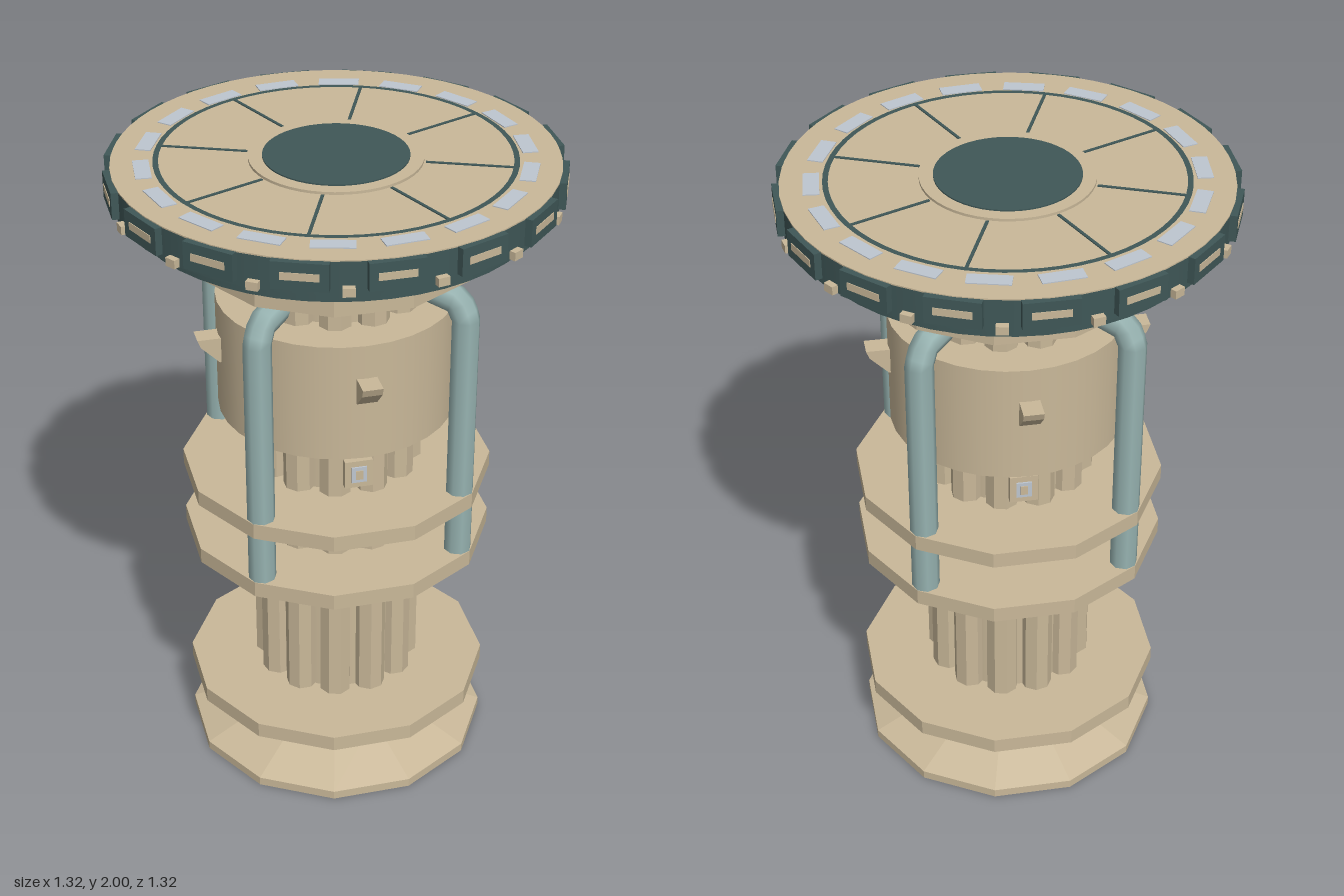
import * as THREE from 'three';

const material = (name, color, flat = false) => {
  const m = new THREE.MeshStandardMaterial({ color, flatShading: flat });
  m.name = name;
  return m;
};

export function createModel() {
  const model = new THREE.Group();
  const sand = material('sand', 0xc9b899);
  const teal = material('darkTeal', 0x3f5757);
  const pipeBlue = material('paleTeal', 0x97b3b1);
  const lamp = material('paleGrey', 0xbec6d0);

  const add = (name, geometry, mat, parent = model) => {
    const mesh = new THREE.Mesh(geometry, mat);
    mesh.name = name;
    parent.add(mesh);
    return mesh;
  };
  // Upright cylinder or cone between two heights
  const drum = (name, rBottom, rTop, y0, y1, sides, mat) => {
    let g = new THREE.CylinderGeometry(rTop, rBottom, y1 - y0, sides);
    g.translate(0, (y0 + y1) / 2, 0);
    if (sides <= 12) {
      g = g.toNonIndexed();
      g.computeVertexNormals();
    }
    return add(name, g, mat);
  };
  // Flat ring facing up
  const ring = (name, r0, r1, y, mat) => {
    const g = new THREE.RingGeometry(r0, r1, 64);
    g.rotateX(-Math.PI / 2).translate(0, y, 0);
    return add(name, g, mat);
  };
  // Repeat a part around the axis; each copy is built facing +z
  const around = (name, count, offset, build) => {
    for (let i = 0; i < count; i++) {
      const g = new THREE.Group();
      g.name = name;
      g.rotation.y = offset + (i * Math.PI * 2) / count;
      build(g);
      model.add(g);
    }
  };
  const box = (name, w, h, d, y, z, mat, parent) =>
    add(name, new THREE.BoxGeometry(w, h, d).translate(0, y, z), mat, parent);

  // Foot
  drum('footRim', 0.473, 0.473, 0, 0.028, 12, sand);
  drum('footSlope', 0.473, 0.25, 0.028, 0.11, 12, sand);

  // Fluted column
  drum('columnCore', 0.215, 0.215, 0.1, 1.64, 24, sand);
  around('columnRib', 12, 0, (g) => {
    const rib = new THREE.CylinderGeometry(0.05, 0.05, 1.53, 8).rotateY(Math.PI / 8);
    rib.translate(0, 0.865, 0.213);
    const faceted = rib.toNonIndexed();
    faceted.computeVertexNormals();
    add('rib', faceted, sand, g);
  });

  // Twelve-sided flanges
  for (const y of [0.2, 0.745, 0.955]) drum('flange', 0.473, 0.473, y, y + 0.05, 12, sand);

  // Collar with wedge brackets
  drum('collar', 0.358, 0.358, 1.2, 1.57, 32, sand);
  const wedge = new THREE.Shape([
    new THREE.Vector2(-0.34, 1.385), new THREE.Vector2(-0.34, 1.465),
    new THREE.Vector2(-0.425, 1.465), new THREE.Vector2(-0.415, 1.44),
    new THREE.Vector2(-0.36, 1.385),
  ]);
  around('bracket', 4, Math.PI / 4, (g) => {
    const geo = new THREE.ExtrudeGeometry(wedge, { depth: 0.06, bevelEnabled: false });
    geo.translate(0, 0, -0.03).rotateY(Math.PI / 2);
    add('wedge', geo, sand, g);
  });

  // Small control boxes on the column
  around('controlBox', 4, Math.PI / 4, (g) => {
    box('case', 0.085, 0.09, 0.08, 1.09, 0.235, sand, g);
    box('frame', 0.046, 0.052, 0.006, 1.09, 0.277, lamp, g);
    box('button', 0.022, 0.03, 0.006, 1.09, 0.28, sand, g);
  });

  // Four bent pipes
  const path = new THREE.CurvePath();
  const pts = [[0.43, 0.77], [0.43, 1.59], [0.405, 1.64], [0.32, 1.655]]
    .map(([z, y]) => new THREE.Vector3(0, y, z));
  for (let i = 0; i < 3; i++) path.add(new THREE.LineCurve3(pts[i], pts[i + 1]));
  around('pipe', 4, 0, (g) => {
    add('pipeTube', new THREE.TubeGeometry(path, 60, 0.042, 8), pipeBlue, g);
  });

  // Flared capital
  drum('capitalFlare', 0.22, 0.437, 1.615, 1.71, 12, sand);
  drum('capitalBand', 0.437, 0.437, 1.71, 1.81, 12, sand);
  drum('capitalShoulder', 0.437, 0.4, 1.81, 1.842, 12, sand);

  // Round head
  drum('headUnderside', 0.59, 0.59, 1.84, 1.89, 48, teal);
  drum('headRim', 0.64, 0.64, 1.888, 1.984, 48, teal);
  drum('headTop', 0.64, 0.64, 1.984, 1.988, 48, sand);
  ring('rimLip', 0.595, 0.638, 1.992, sand).material = sand;
  ring('darkBand', 0.503, 0.519, 1.992, teal);
  drum('hub', 0.25, 0.25, 1.986, 1.996, 48, sand);
  drum('hubDisc', 0.21, 0.21, 1.99, 2.0, 48, teal);

  // Radial seams and lamps on the top
  around('seam', 8, Math.PI / 8, (g) => box('seamStrip', 0.009, 0.006, 0.255, 1.988, 0.383, teal, g));
  around('topLamp', 18, Math.PI / 2, (g) => box('lampPlate', 0.122, 0.006, 0.046, 1.988, 0.55, lamp, g));

  // Panels and pegs around the rim
  around('rimPanel', 16, 0, (g) => {
    box('panel', 0.155, 0.08, 0.03, 1.945, 0.641, teal, g);
    box('slot', 0.106, 0.022, 0.006, 1.945, 0.655, sand, g);
  });
  around('rimPeg', 16, Math.PI / 16, (g) => box('peg', 0.034, 0.025, 0.03, 1.902, 0.643, sand, g));

  return model;
}
